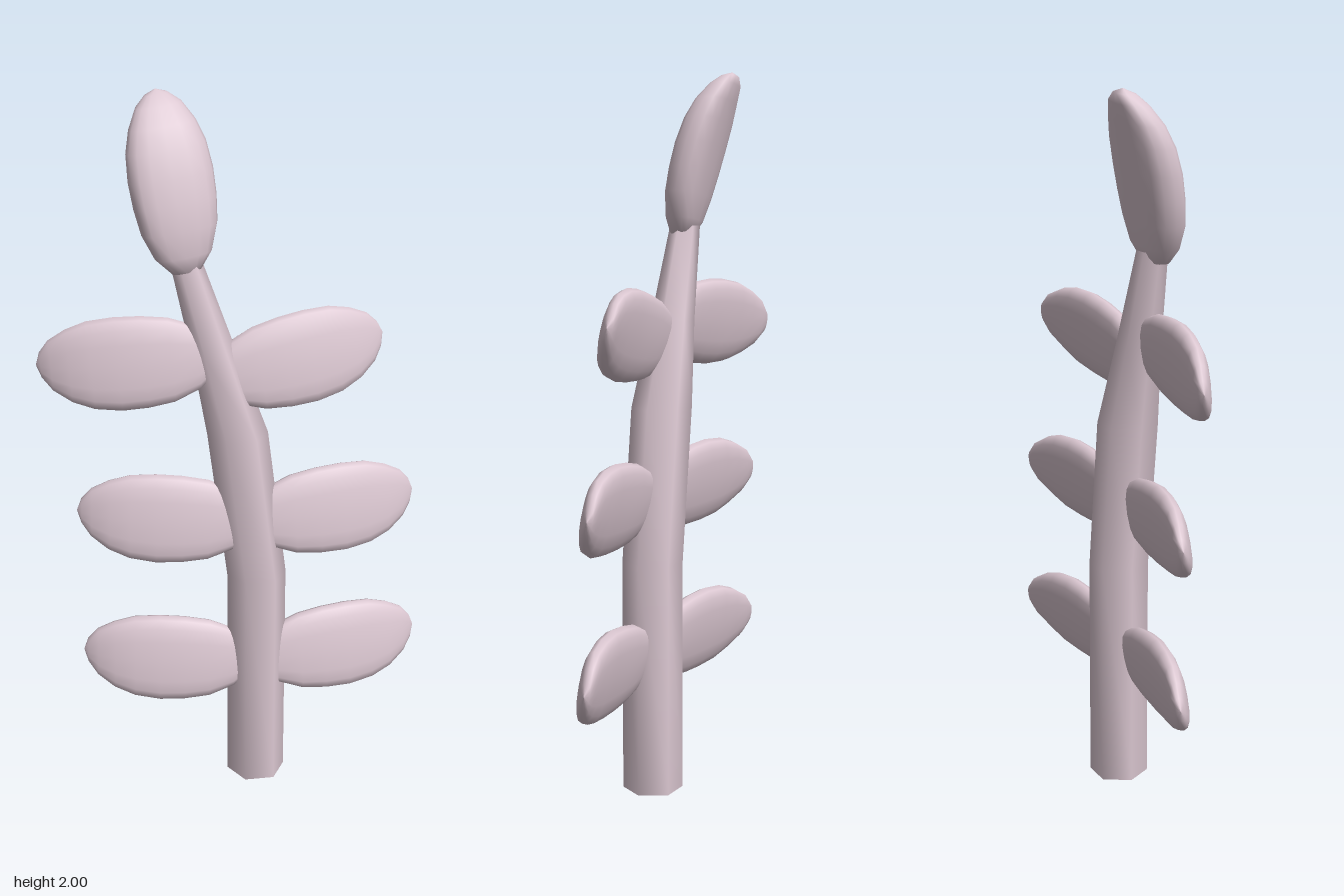
import * as THREE from 'three';

// The stem is an open tube, so both faces show
const blush = new THREE.MeshStandardMaterial({ color: 0xdcc8d2, side: THREE.DoubleSide });
blush.name = 'pale pink';

// Smooth skin over a list of closed rings (each an array of Vector3)
function skin(rings) {
  const n = rings[0].length;
  const idx = [];
  for (let i = 0; i < rings.length - 1; i++) {
    for (let j = 0; j < n; j++) {
      const a = i * n + j, b = i * n + ((j + 1) % n);
      idx.push(a, b, a + n, b, b + n, a + n);
    }
  }
  const g = new THREE.BufferGeometry().setFromPoints(rings.flat());
  g.setIndex(idx);
  g.computeVertexNormals();
  return g;
}

function addMesh(parent, geometry, name) {
  const m = new THREE.Mesh(geometry, blush);
  m.name = name;
  parent.add(m);
}

// Half-width along a leaf: [t, fraction of the widest part]
const OUTLINE = [[0, 0], [0.005, 0.36], [0.1, 0.68], [0.25, 0.9], [0.4, 0.98], [0.55, 1],
  [0.7, 0.94], [0.82, 0.78], [0.92, 0.54], [0.975, 0.27], [1, 0]];

// Rounded-box power, fuller than a plain ellipse
const full = (v, p) => Math.sign(v) * Math.abs(v) ** p;

// Plump leaf from start to tip in the xy plane; spine lists [t, z] along it
function leafGeometry({ start, tip, width, front, back, twist, spine }) {
  const d = new THREE.Vector2(tip[0] - start[0], tip[1] - start[1]);
  const w = new THREE.Vector2(-d.y, d.x).normalize();
  const zAt = (t) => {
    const i = Math.max(1, spine.findIndex(([s]) => s >= t));
    const [[t0, z0], [t1, z1]] = [spine[i - 1], spine[i]];
    return z0 + (z1 - z0) * (t - t0) / (t1 - t0);
  };
  const rings = OUTLINE.map(([t, f]) => Array.from({ length: 16 }, (_, j) => {
    const a = (j / 16) * Math.PI * 2;
    const across = full(Math.cos(a), 0.8) * f * width;
    const s = full(Math.sin(a), 0.8);
    return new THREE.Vector3(
      start[0] + d.x * t + w.x * across,
      start[1] + d.y * t + w.y * across,
      zAt(t) + s * (s > 0 ? front : back) * f ** 0.7 + twist * across);
  }));
  return skin(rings);
}

export function createModel() {
  const model = new THREE.Group();
  model.name = 'leafySprig';

  // Six-sided open stem, bending and tapering upwards: [y, centre x, radius]
  const stemRows = [[0, 0.051, 0.084], [0.65, 0.051, 0.084], [1.08, -0.003, 0.084],
    [1.32, -0.068, 0.061], [1.58, -0.142, 0.042]];
  addMesh(model, skin(stemRows.map(([y, x, r]) => Array.from({ length: 6 }, (_, j) => {
    const a = (j / 6) * Math.PI * 2;
    return new THREE.Vector3(x + Math.cos(a) * r, y, 0.027 - Math.sin(a) * r);
  }))), 'stem');

  // Three pairs of side leaves, curling backwards at the tips
  const pairs = [
    ['lowerLeaf', [0.06, 0.385], [0.535, 0.405], [0.03, 0.385], [-0.443, 0.405]],
    ['middleLeaf', [0.035, 0.825], [0.515, 0.85], [0.03, 0.825], [-0.447, 0.85]],
    ['upperLeaf', [-0.065, 1.252], [0.41, 1.33], [-0.065, 1.316], [-0.54, 1.285]],
  ];
  for (const [name, ls, lt, rs, rt] of pairs) {
    for (const [side, start, tip, twist] of [['Left', ls, lt, -0.17], ['Right', rs, rt, 0.17]]) {
      addMesh(model, leafGeometry({
        start, tip, width: 0.125, front: 0.034, back: 0.042, twist,
        spine: [[0, 0.04], [0.3, 0.04], [0.6, 0.025], [0.85, -0.005], [1, -0.04]],
      }), name + side);
    }
  }

  // Thicker end leaf at the top, leaning back
  addMesh(model, leafGeometry({
    start: [-0.14, 1.55], tip: [-0.2, 2], width: 0.113, front: 0.06, back: 0.062, twist: 0.12,
    spine: [[0, 0.037], [0.25, 0.024], [0.5, 0.002], [0.78, -0.035], [1, -0.09]],
  }), 'topLeaf');

  return model;
}
